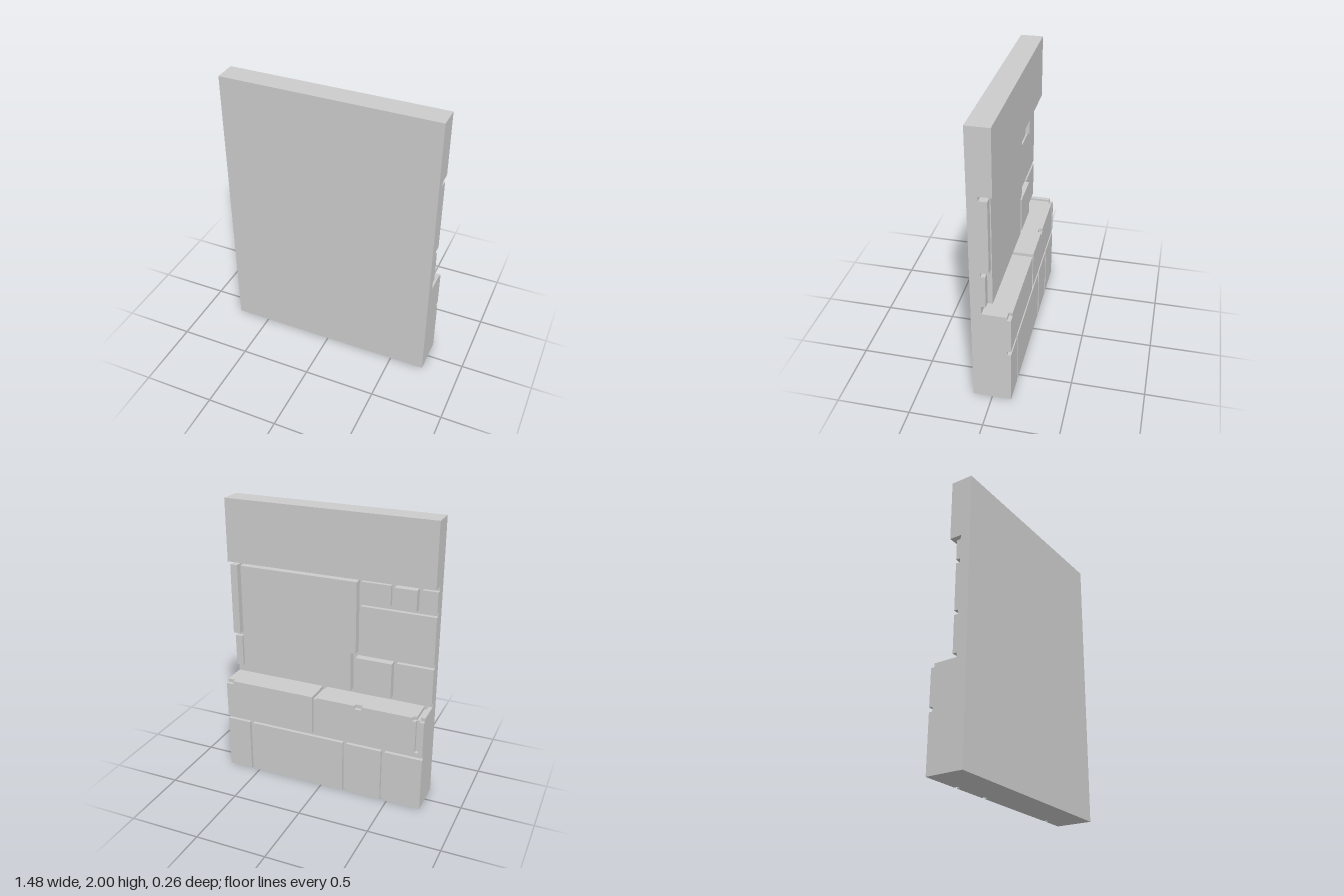
import * as THREE from 'three';

const FRONT = 0.13;   // flat front face
const FLOOR = 0.06;   // joint depth behind the upper stones
const LEDGE = -0.105; // joint depth behind the lower stones
const BACK = -0.13;   // face of the lower stones

export function createModel() {
  const group = new THREE.Group();
  group.name = 'stoneWallPanel';
  const material = new THREE.MeshStandardMaterial({ color: 0xcccccc, flatShading: true });

  function add(name, geometry) {
    const mesh = new THREE.Mesh(geometry, material);
    mesh.name = name;
    group.add(mesh);
  }

  // Box given by its limits on each axis
  function block(name, [x0, x1], [y0, y1], [z0, z1]) {
    const g = new THREE.BoxGeometry(x1 - x0, y1 - y0, z1 - z0);
    add(name, g.translate((x0 + x1) / 2, (y0 + y1) / 2, (z0 + z1) / 2));
  }

  // Outline in x,y extruded between two depths
  function plate(name, outline, [z0, z1]) {
    const shape = new THREE.Shape(outline.map(([x, y]) => new THREE.Vector2(x, y)));
    const g = new THREE.ExtrudeGeometry(shape, { depth: z1 - z0, bevelEnabled: false });
    add(name, g.translate(0, 0, z0));
  }

  const W = 0.74;

  // Solid core: thin slab, top beam, thick base
  block('backingSlab', [-W, W], [0.675, 1.56], [FLOOR, FRONT]);
  block('topBeam', [-W, W], [1.56, 2], [-0.025, FRONT]);
  block('baseCore', [-W, W], [0, 0.675], [LEDGE, FRONT]);

  // Bottom course of stones
  [[-W, -0.475], [-0.448, -0.192], [-0.165, 0.54], [0.565, W]].forEach((x, i) =>
    block('bottomStone' + (i + 1), x, [0, 0.39], [BACK, LEDGE]));

  // Ledge slabs, parted by shallow joints
  [[-W, -0.71], [-0.685, 0.035], [0.065, W]].forEach((x, i) =>
    block('ledgeSlab' + (i + 1), x, [0.675, 0.7], [LEDGE, FLOOR]));

  // Ledge course facing with chipped top edges and a narrow slot
  plate('ledgeStoneLeft', [
    [0.065, 0.42], [W, 0.42], [W, 0.675], [0.685, 0.675], [0.685, 0.7], [0.065, 0.7],
  ], [BACK, LEDGE]);
  plate('ledgeStoneRight', [
    [-W, 0.42], [0.035, 0.42], [0.035, 0.7], [-0.25, 0.7], [-0.25, 0.675],
    [-0.3, 0.675], [-0.3, 0.7], [-0.66, 0.7], [-0.66, 0.675], [-0.685, 0.675],
    [-0.685, 0.44], [-0.71, 0.44], [-0.71, 0.675], [-W, 0.675],
  ], [BACK, LEDGE]);

  // Large middle stone, stepped in at its lower corner
  plate('largeStone', [
    [-0.165, 0.73], [0.66, 0.73], [0.66, 1.53], [-0.2, 1.53], [-0.2, 1.02], [-0.165, 1.02],
  ], [0.005, FLOOR]);

  // Smaller stones around it: x range, y range, face depth
  [
    [[0.687, W], [1.02, 1.53], 0.005],
    [[0.687, W], [0.76, 0.99], 0.03],
    [[-0.427, -0.22], [1.385, 1.53], 0.03],
    [[-0.61, -0.457], [1.385, 1.53], 0.005],
    [[-W, -0.637], [1.385, 1.53], 0.03],
    [[-W, -0.22], [1.02, 1.358], 0.03],
    [[-0.458, -0.2], [0.73, 0.99], 0.005],
    [[-W, -0.485], [0.73, 0.99], 0.03],
  ].forEach(([x, y, z], i) => block('smallStone' + (i + 1), x, y, [z, FLOOR]));

  return group;
}
